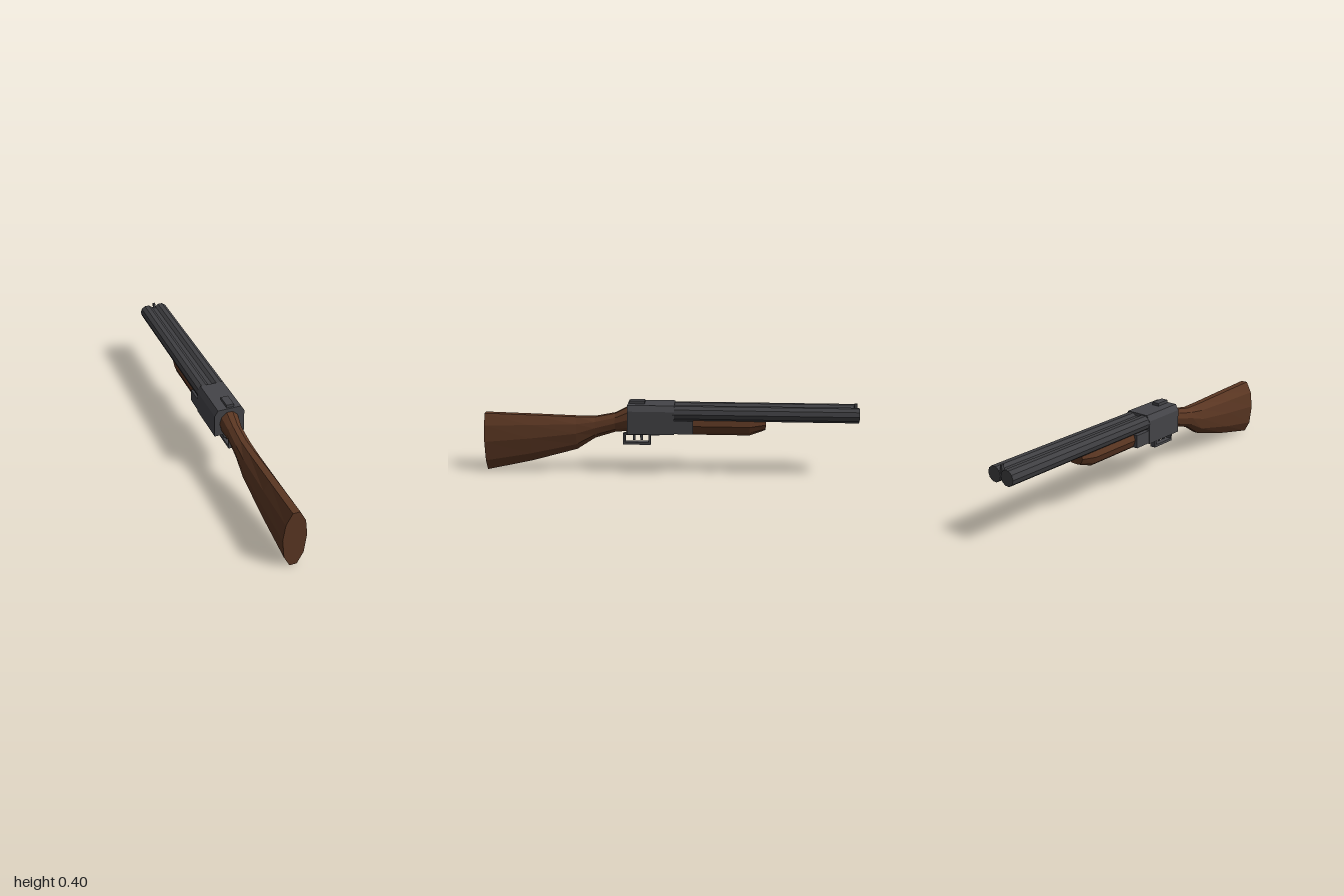
import * as THREE from 'three';

const material = (name, color) => {
  const m = new THREE.MeshStandardMaterial({ color, flatShading: true });
  m.name = name;
  return m;
};

// Joins mirrored half outlines (top to bottom) running from +z to -z, with end caps
function loft(sections) {
  const rings = sections.map(({ z, half }) => [
    ...half.map(([x, y]) => [x, y, z]),
    ...half.slice().reverse().map(([x, y]) => [-x, y, z]),
  ]);
  const n = rings[0].length, pos = [];
  const tri = (...pts) => pts.forEach((p) => pos.push(...p));
  for (let i = 0; i < rings.length - 1; i++) {
    for (let j = 0; j < n; j++) {
      const k = (j + 1) % n;
      const a = rings[i][j], b = rings[i][k], c = rings[i + 1][k], d = rings[i + 1][j];
      tri(a, b, c);
      tri(a, c, d);
    }
  }
  const first = rings[0], last = rings[rings.length - 1];
  for (let j = 1; j < n - 1; j++) {
    tri(first[0], first[j + 1], first[j]);
    tri(last[0], last[j], last[j + 1]);
  }
  const g = new THREE.BufferGeometry();
  g.setAttribute('position', new THREE.Float32BufferAttribute(pos, 3));
  g.computeVertexNormals();
  return g;
}

export function createModel() {
  const model = new THREE.Group();
  const wood = material('walnut wood', 0x5a3622);
  const steel = material('receiver steel', 0x444448);
  const darkSteel = material('barrel steel', 0x3f3f42);

  const add = (name, geometry, mat, parent = model) => {
    const mesh = new THREE.Mesh(geometry, mat);
    mesh.name = name;
    parent.add(mesh);
    return mesh;
  };
  // Box given by its extents
  const box = (name, x0, x1, y0, y1, z0, z1, mat, parent) => {
    const mesh = add(name, new THREE.BoxGeometry(x1 - x0, y1 - y0, z1 - z0), mat, parent);
    mesh.position.set((x0 + x1) / 2, (y0 + y1) / 2, (z0 + z1) / 2);
  };
  const rod = (name, r, sides, x, y, z0, z1, mat) => {
    const g = new THREE.CylinderGeometry(r, r, z1 - z0, sides);
    g.rotateY(Math.PI / sides).rotateX(Math.PI / 2);
    add(name, g, mat).position.set(x, y, (z0 + z1) / 2);
  };

  // Stock: z, bottom, top, half width
  const stock = [
    [1, 0, 0.318, 0.062],
    [0.75, 0.055, 0.312, 0.059],
    [0.5, 0.125, 0.305, 0.053],
    [0.4, 0.19, 0.305, 0.048],
    [0.29, 0.225, 0.327, 0.045],
    [0.21, 0.232, 0.369, 0.056],
  ].map(([z, lo, hi, w]) => ({
    z,
    half: [[0.3, 1], [0.81, 0.81], [1, 0.53], [0.81, 0.19], [0.3, 0]]
      .map(([u, v]) => [u * w, lo + v * (hi - lo)]),
  }));
  add('stock', loft(stock), wood);

  // Receiver with chamfered top and lower lug
  const body = [[0.064, 0.385], [0.082, 0.355], [0.082, 0.23]];
  add('receiver', loft([0.22, -0.03].map((z) => ({ z, half: body }))), steel);
  box('receiverLug', -0.08, 0.08, 0.235, 0.305, -0.13, -0.03, steel);
  box('topLever', -0.013, 0.027, 0.38, 0.401, 0.13, 0.21, steel);

  // Trigger group
  const trigger = new THREE.Group();
  trigger.name = 'triggerGroup';
  model.add(trigger);
  box('triggerPlate', -0.035, 0.035, 0.214, 0.232, 0.05, 0.23, steel, trigger);
  box('guardBottom', -0.016, 0.016, 0.154, 0.168, 0.1, 0.25, steel, trigger);
  box('guardRear', -0.016, 0.016, 0.154, 0.215, 0.238, 0.25, steel, trigger);
  box('guardFront', -0.016, 0.016, 0.154, 0.215, 0.1, 0.112, steel, trigger);
  for (const z of [0.15, 0.19]) {
    box('trigger', -0.007, 0.007, 0.178, 0.216, z - 0.007, z + 0.007, steel, trigger);
  }

  // Twin barrels, ribs and front sight
  for (const side of [1, -1]) {
    rod('barrel', 0.041, 10, side * 0.042, 0.342, -1, -0.02, darkSteel);
  }
  box('topRib', -0.013, 0.013, 0.345, 0.368, -0.995, -0.02, darkSteel);
  rod('underRod', 0.016, 8, 0, 0.312, -0.95, -0.1, darkSteel);
  box('frontSight', -0.006, 0.006, 0.36, 0.396, -0.995, -0.98, darkSteel);

  // Fore-end, tapering at the tip
  const full = [[0.058, 0.306], [0.068, 0.275], [0.055, 0.24], [0.028, 0.22]];
  const rear = [[0.058, 0.306], [0.068, 0.275], [0.055, 0.25], [0.028, 0.234]];
  const tip = [[0.045, 0.306], [0.052, 0.285], [0.042, 0.262], [0.022, 0.25]];
  add('foreEnd', loft([
    { z: -0.07, half: rear },
    { z: -0.1, half: full },
    { z: -0.43, half: full },
    { z: -0.515, half: tip },
  ]), wood);

  return model;
}
